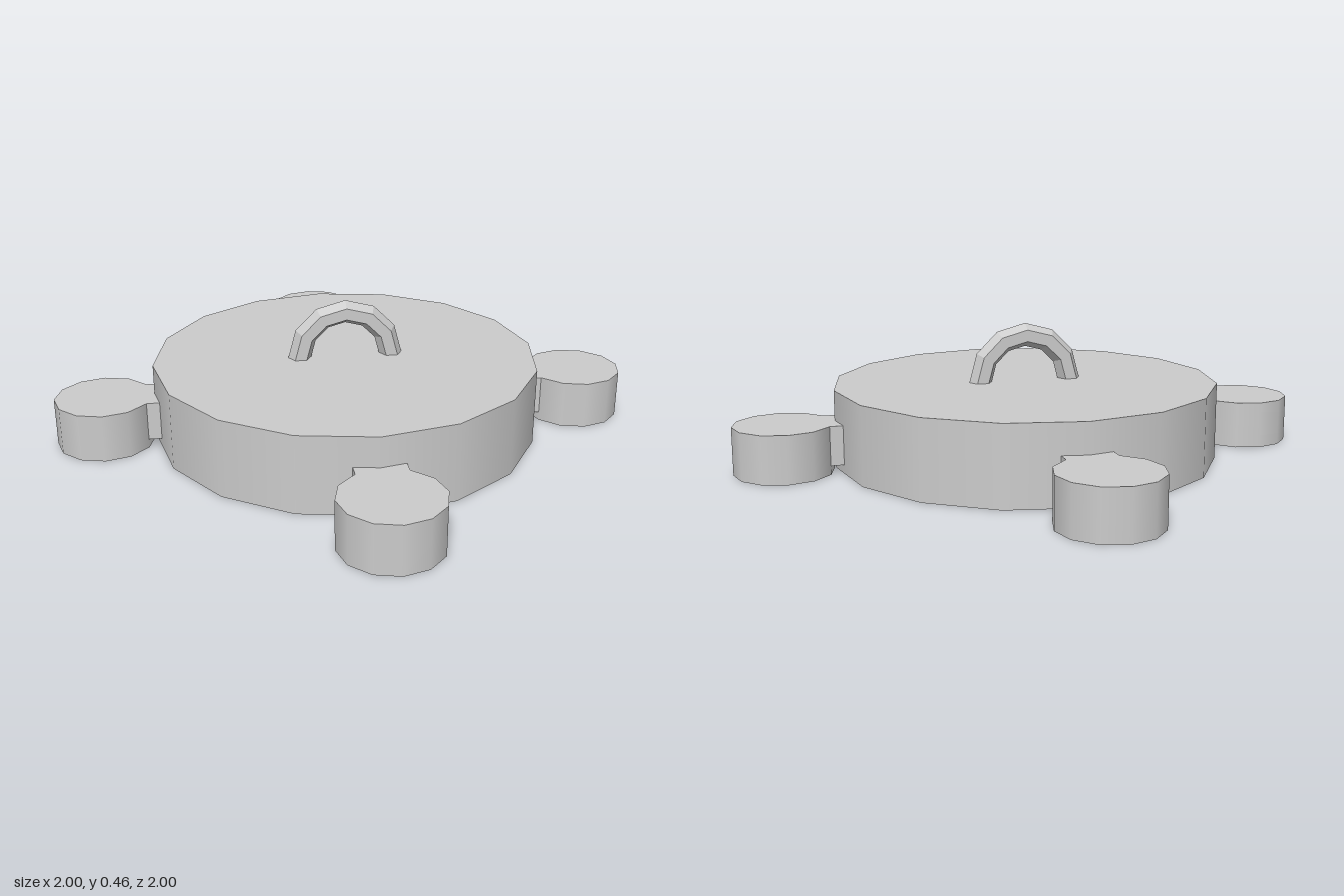
import * as THREE from 'three';

const material = new THREE.MeshStandardMaterial({ color: 0xcccccc });
const facetedMaterial = new THREE.MeshStandardMaterial({ color: 0xcccccc, flatShading: true });

function addPart(parent, name, geometry, x, y, z, mat = material) {
  const mesh = new THREE.Mesh(geometry, mat);
  mesh.name = name;
  mesh.position.set(x, y, z);
  parent.add(mesh);
  return mesh;
}

export function createModel() {
  const model = new THREE.Group();
  model.name = 'roundBaseWithHandle';

  const bodyHeight = 0.265, footHeight = 0.163, footRadius = 0.166;

  // Wide sixteen-sided body
  addPart(model, 'body', new THREE.CylinderGeometry(0.663, 0.663, bodyHeight, 16), 0, bodyHeight / 2, 0);

  // Half-ring carrying handle, hexagonal in section
  addPart(model, 'handle', new THREE.TorusGeometry(0.159, 0.04, 6, 6, Math.PI), 0, bodyHeight, 0, facetedMaterial);

  // Four round feet, each joined to the body by a short block
  const footGeometry = new THREE.CylinderGeometry(footRadius, footRadius, footHeight, 12);
  const linkGeometry = new THREE.BoxGeometry(0.14, 0.133, 0.166);
  for (let i = 0; i < 4; i++) {
    const arm = new THREE.Group();
    arm.name = 'footAssembly' + (i + 1);
    addPart(arm, 'foot', footGeometry, 1 - footRadius, footHeight / 2, 0);
    addPart(arm, 'link', linkGeometry, 0.67, 0.0965, 0);
    arm.rotation.y = i * Math.PI / 2;
    model.add(arm);
  }

  return model;
}
